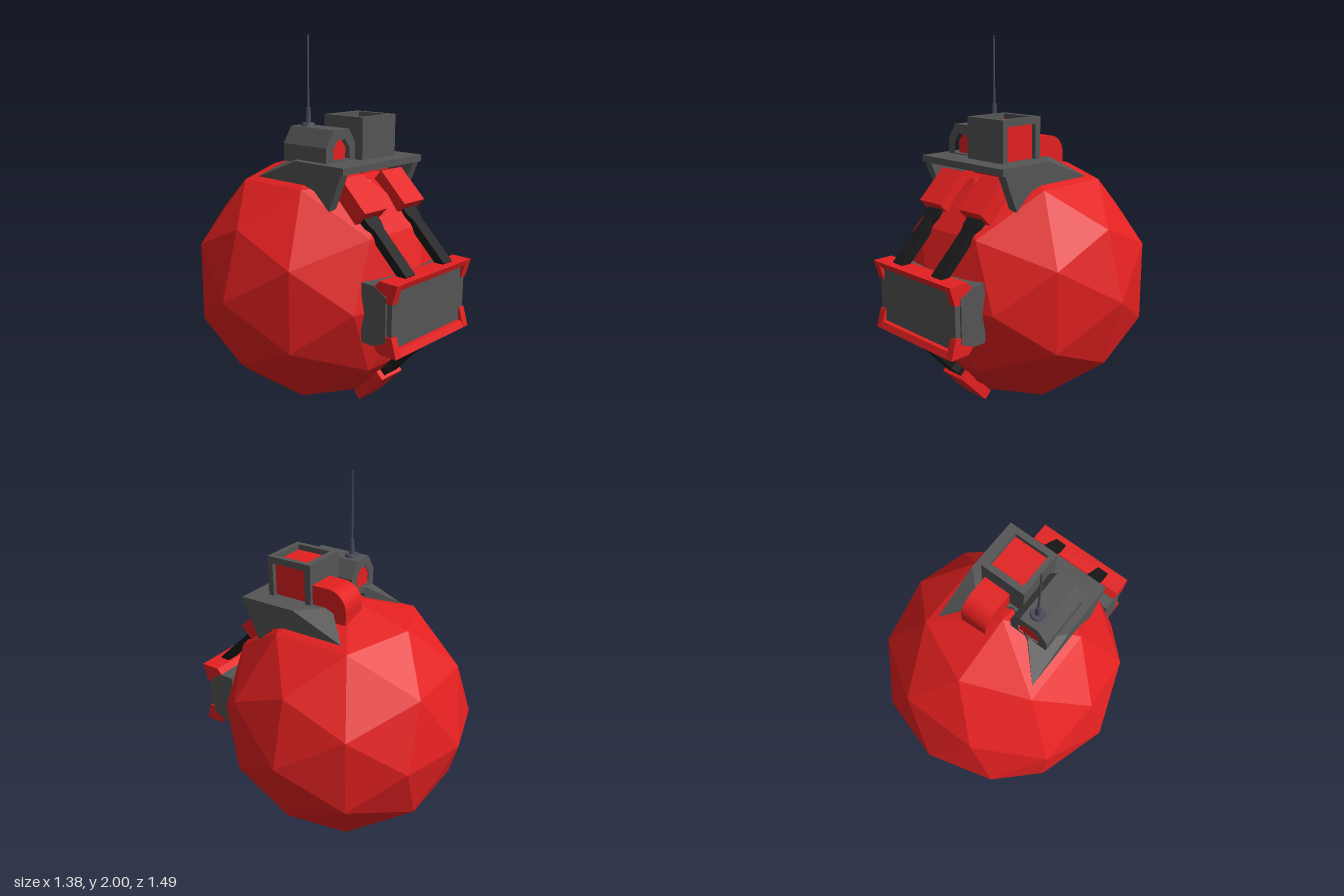
import * as THREE from 'three';
import { ConvexGeometry } from 'three/addons/geometries/ConvexGeometry.js';

const mat = (color) => new THREE.MeshStandardMaterial({ color });

export function createModel() {
  const model = new THREE.Group();
  const red = mat(0xe32020), grey = mat(0x555555), black = mat(0x191919), steel = mat(0x474a58);

  const add = (name, geometry, material, parent = model) => {
    const mesh = new THREE.Mesh(geometry, material);
    mesh.name = name;
    parent.add(mesh);
    return mesh;
  };
  // Box given by its limits on each axis
  const box = (x0, x1, y0, y1, z0, z1) =>
    new THREE.BoxGeometry(x1 - x0, y1 - y0, z1 - z0)
      .translate((x0 + x1) / 2, (y0 + y1) / 2, (z0 + z1) / 2);
  const shapeOf = (pts, hole) => {
    const s = new THREE.Shape(pts.map((p) => new THREE.Vector2(...p)));
    if (hole) s.holes.push(new THREE.Path(hole.map((p) => new THREE.Vector2(...p))));
    return s;
  };
  const extrude = (shape, depth) =>
    new THREE.ExtrudeGeometry(shape, { depth, bevelEnabled: false, curveSegments: 8 });
  // (z, y) profile extruded between two x positions
  const sideExtrude = (shape, x0, x1) => extrude(shape, x1 - x0).rotateY(-Math.PI / 2).translate(x1, 0, 0);
  // (x, z) outline extruded between two heights
  const flatExtrude = (shape, y0, y1) => extrude(shape, y1 - y0).rotateX(Math.PI / 2).translate(0, y1, 0);
  const rect = (a0, a1, b0, b1) => [[a0, b0], [a1, b0], [a1, b1], [a0, b1]];

  // Faceted round body
  const ball = new THREE.IcosahedronGeometry(0.69, 1).rotateY(Math.PI / 2).translate(0, 0.694, -0.055);
  ball.computeVertexNormals();
  add('body', ball, red);

  // Top mount: notched plate, side cheeks and pointed rear wings
  const mount = new THREE.Group();
  mount.name = 'topMount';
  model.add(mount);
  add('mountPlate', flatExtrude(shapeOf([
    [-0.305, 0.405], [-0.305, 0.08], [-0.16, -0.06], [0, 0.03], [0.16, -0.06], [0.305, 0.08], [0.305, 0.405],
  ]), 1.35, 1.385), grey, mount);
  const cheek = shapeOf([[0.405, 1.385], [0.08, 1.385], [0.08, 1.27], [0.14, 1.27], [0.21, 1.25], [0.31, 1.16]]);
  for (const s of [-1, 1]) {
    add('mountCheek', sideExtrude(cheek, s > 0 ? 0.255 : -0.305, s > 0 ? 0.305 : -0.255), grey, mount);
    add('mountWing', new ConvexGeometry([
      [0.305, 1.385, 0.08], [0.16, 1.385, -0.06], [0.305, 1.27, -0.21], [0.16, 1.27, -0.06], [0.305, 1.27, 0.08],
    ].map(([x, y, z]) => new THREE.Vector3(s * x, y, z))), grey, mount);
  }

  // Square housing with recessed red panels on top and on the left
  const housing = new THREE.Group();
  housing.name = 'squareHousing';
  model.add(housing);
  add('housingCore', box(-0.03, 0.18, 1.31, 1.57, 0.06, 0.285), red, housing);
  add('housingFront', box(-0.055, 0.205, 1.38, 1.6, 0.275, 0.305), grey, housing);
  add('housingBack', box(-0.055, 0.205, 1.38, 1.6, 0.04, 0.075), grey, housing);
  add('housingRight', box(-0.055, -0.025, 1.38, 1.6, 0.07, 0.28), grey, housing);
  add('housingTopRim', flatExtrude(
    shapeOf(rect(-0.055, 0.205, 0.04, 0.305), rect(-0.025, 0.175, 0.075, 0.275)), 1.565, 1.6), grey, housing);
  add('housingLeftRim', sideExtrude(
    shapeOf(rect(0.04, 0.305, 1.38, 1.6), rect(0.075, 0.275, 1.385, 1.565)), 0.175, 0.205), grey, housing);

  // Rounded duct behind the square housing
  const duct = new THREE.Shape();
  duct.moveTo(0.05, 1.3);
  duct.lineTo(0.05, 1.49);
  duct.lineTo(-0.055, 1.49);
  duct.absarc(-0.055, 1.385, 0.105, Math.PI / 2, Math.PI, false);
  duct.lineTo(-0.16, 1.3);
  add('roundedDuct', sideExtrude(duct, 0.03, 0.185), red);

  // Chamfered antenna housing with an arched opening
  const arch = [[-0.215, 1.39], [-0.215, 1.45], [-0.18, 1.495], [-0.13, 1.495], [-0.095, 1.45], [-0.095, 1.39]];
  add('antennaHousing', extrude(shapeOf([
    [-0.265, 1.37], [-0.265, 1.46], [-0.21, 1.545], [-0.1, 1.545], [-0.045, 1.46], [-0.045, 1.37],
  ], arch), 0.305).translate(0, 0, -0.05), grey);
  add('antennaHousingCore', extrude(shapeOf(arch), 0.27).translate(0, 0, -0.045), red);

  // Antenna
  const antenna = new THREE.Group();
  antenna.name = 'antenna';
  antenna.position.set(-0.155, 0, 0.02);
  model.add(antenna);
  for (const [name, r0, r1, y0, y1] of [
    ['antennaBase', 0.04, 0.034, 1.54, 1.56],
    ['antennaSocket', 0.015, 0.011, 1.55, 1.64],
    ['antennaRod', 0.006, 0.005, 1.63, 2],
  ]) add(name, new THREE.CylinderGeometry(r1, r0, y1 - y0, 16).translate(0, (y0 + y1) / 2, 0), steel, antenna);

  // Front visor: grey block between two red brackets
  add('visorBlock', box(-0.295, 0.295, 0.55, 0.845, 0.6, 0.71), grey);
  const sideBlock = shapeOf([[0.68, 0.58], [0.68, 0.81], [0.6, 0.85], [0.53, 0.85], [0.53, 0.545], [0.6, 0.545]]);
  // Rear band with its back edge shaped to the body
  add('visorBand', flatExtrude(shapeOf([
    [-0.305, 0.53], [-0.17, 0.565], [0.17, 0.565], [0.305, 0.53], [0.305, 0.61], [-0.305, 0.61],
  ]), 0.545, 0.85), grey);
  for (const s of [-1, 1]) {
    add('visorSide', sideExtrude(sideBlock, s > 0 ? 0.265 : -0.305, s > 0 ? 0.305 : -0.265), grey);
  }
  const mid = 0.697;
  for (const up of [1, -1]) {
    const bracket = (pts) => shapeOf(pts.map(([z, y]) => [z, mid + up * y]));
    const name = up > 0 ? 'upperBracket' : 'lowerBracket';
    add(name, sideExtrude(bracket([[0.745, 0.183], [0.635, 0.183], [0.605, 0.15], [0.73, 0.15]]), -0.295, 0.295), red);
    const end = bracket([[0.745, 0.183], [0.635, 0.183], [0.575, 0.118], [0.68, 0.118], [0.68, 0.083], [0.715, 0.083]]);
    for (const s of [-1, 1]) {
      add(name + 'End', sideExtrude(end, s > 0 ? 0.262 : -0.302, s > 0 ? 0.302 : -0.262), red);
    }
  }

  // Strap running from the visor to a red clamp on the body; points are [y, z]
  const strapOutline = (len) => shapeOf([
    [-0.035, 0], [0.035, 0], [0.035, len - 0.1], [0.05, len - 0.06], [0.05, len],
    [-0.05, len], [-0.05, len - 0.06], [-0.035, len - 0.1],
  ]);
  const strap = (x, from, to, clampAt, clampSize, name) => {
    const dy = to[0] - from[0], dz = to[1] - from[1];
    const tilt = Math.atan2(dz, dy);
    const band = add(name, extrude(strapOutline(Math.hypot(dy, dz)), 0.045).translate(0, 0, -0.022), black);
    band.position.set(x, ...from);
    band.rotation.x = tilt;
    const clamp = add(name + 'Clamp', new THREE.BoxGeometry(...clampSize), red);
    clamp.position.set(x, ...clampAt);
    clamp.rotation.x = tilt;
  };
  for (const s of [-1, 1]) {
    strap(s * 0.153, [0.87, 0.69], [1.13, 0.42], [1.21, 0.375], [0.165, 0.22, 0.09], 'upperStrap');
  }
  strap(0, [0.52, 0.69], [0.25, 0.44], [0.178, 0.388], [0.165, 0.23, 0.055], 'lowerStrap');

  return model;
}
